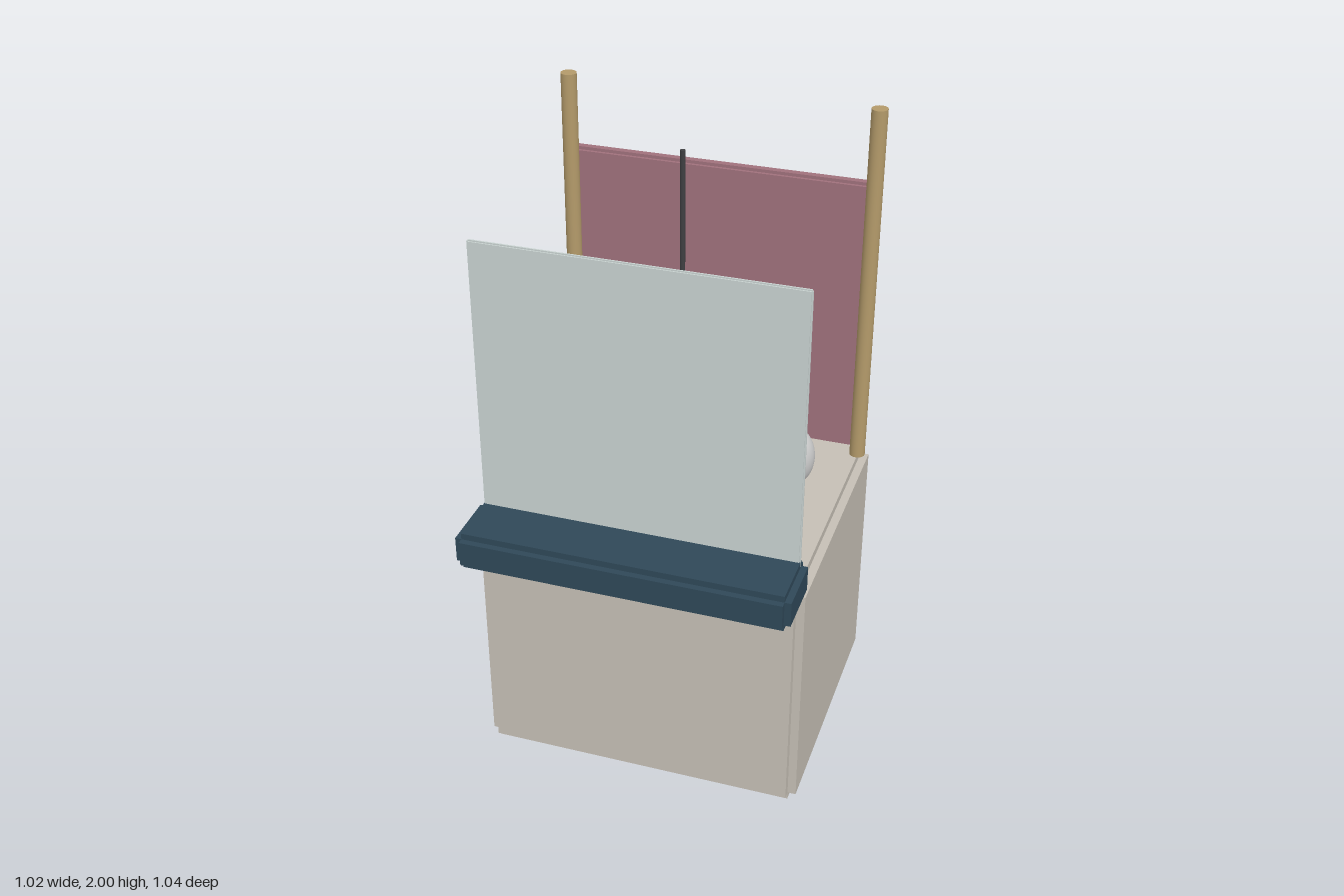
import * as THREE from 'three';

const material = (color) => new THREE.MeshStandardMaterial({ color });

// A box with notched edges: three slabs, each reaching full size along one axis.
function notchedBox(name, color, [x0, x1], [y0, y1], [z0, z1], notch) {
  const part = new THREE.Group();
  part.name = name;
  const mat = material(color);
  const size = [x1 - x0, y1 - y0, z1 - z0];
  for (let axis = 0; axis < 3; axis++) {
    const s = size.map((v, i) => (i === axis ? v : v - 2 * notch));
    const slab = new THREE.Mesh(new THREE.BoxGeometry(...s), mat);
    slab.name = name + 'Slab';
    slab.position.set((x0 + x1) / 2, (y0 + y1) / 2, (z0 + z1) / 2);
    part.add(slab);
  }
  return part;
}

// An upright round bar between two heights.
function bar(name, color, radius, x, z, y0, y1, sides) {
  const mesh = new THREE.Mesh(new THREE.CylinderGeometry(radius, radius, y1 - y0, sides), material(color));
  mesh.name = name;
  mesh.position.set(x, (y0 + y1) / 2, z);
  return mesh;
}

export function createModel() {
  const model = new THREE.Group();
  model.name = 'counterStand';

  // Cabinet, front ledge and the two upright panels
  model.add(notchedBox('cabinet', 0xc5bfb5, [-0.512, 0.512], [0, 0.82], [-0.52, 0.355], 0.026));
  model.add(notchedBox('frontLedge', 0x2f4858, [-0.512, 0.512], [0.795, 0.915], [0.295, 0.52], 0.02));
  model.add(notchedBox('frontScreen', 0xc9d3d1, [-0.492, 0.492], [0.85, 1.785], [0.318, 0.331], 0.004));
  model.add(notchedBox('backPanel', 0xa0717c, [-0.492, 0.492], [0.822, 1.747], [-0.52, -0.478], 0.01));

  // Rear posts
  for (const side of [-1, 1]) {
    model.add(bar(side > 0 ? 'leftPost' : 'rightPost', 0xb39a6a, 0.025, side * 0.483, -0.446, 0.82, 2, 24));
  }

  // Hanging rod
  model.add(bar('hangingRod', 0x3f3f42, 0.008, 0, -0.086, 1.54, 1.95, 12));

  // Row of egg-shaped ornaments
  [0x4a5b68, 0xc8bea8, 0x7d917f, 0xa5604f, 0xcccccc].forEach((color, i) => {
    const egg = new THREE.Mesh(new THREE.SphereGeometry(1, 32, 20), material(color));
    egg.name = 'ornament' + (i + 1);
    egg.scale.set(0.071, 0.1, 0.066);
    egg.position.set((i - 2) * 0.1645, 0.936, -0.19);
    model.add(egg);
  });

  return model;
}
